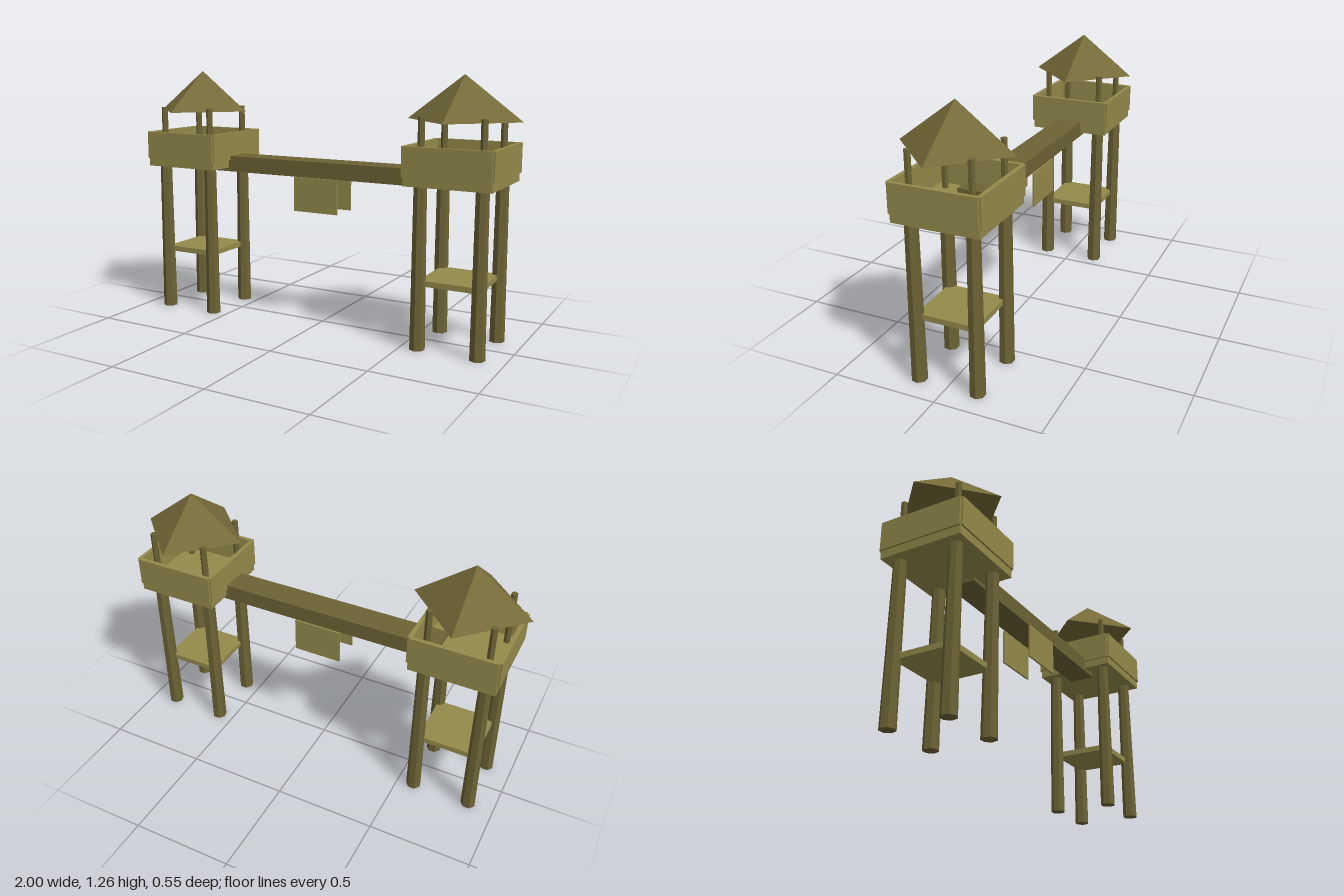
import * as THREE from 'three';

const material = (name, color) => {
  const m = new THREE.MeshStandardMaterial({ color, flatShading: true });
  m.name = name;
  return m;
};

export function createModel() {
  const model = new THREE.Group();
  model.name = 'twinWatchtowers';

  const planks = material('light olive planks', 0x938a4b);
  const timber = material('dark olive timber', 0x6c6334);
  const thatch = material('olive roof', 0x766b39);

  const add = (parent, name, geometry, mat, x, y, z) => {
    const mesh = new THREE.Mesh(geometry, mat);
    mesh.name = name;
    mesh.position.set(x, y, z);
    parent.add(mesh);
    return mesh;
  };
  const box = (w, h, d) => new THREE.BoxGeometry(w, h, d);

  function createTower(name, x) {
    const tower = new THREE.Group();
    tower.name = name;
    tower.position.x = x;

    // Tapered legs and the thin posts above them
    for (const sx of [-1, 1]) {
      for (const sz of [-1, 1]) {
        add(tower, 'leg', new THREE.CylinderGeometry(0.031, 0.037, 0.77, 7), timber,
          sx * 0.145, 0.385, sz * 0.145);
        add(tower, 'roofPost', new THREE.CylinderGeometry(0.016, 0.016, 0.27, 6), timber,
          sx * 0.145, 0.942, sz * 0.145);
      }
    }

    // Lower shelf and upper deck
    add(tower, 'shelf', box(0.29, 0.027, 0.29), planks, 0, 0.317, 0);
    add(tower, 'deck', box(0.412, 0.04, 0.412), planks, 0, 0.79, 0);

    // Parapet walls, slightly notched where they meet at the corners
    for (const s of [-1, 1]) {
      add(tower, 'parapetSide', box(0.02, 0.14, 0.41), planks, s * 0.205, 0.88, 0);
      add(tower, 'parapetFace', box(0.41, 0.14, 0.02), planks, 0, 0.88, s * 0.205);
    }

    // Pyramid roof turned with its corners on the axes
    add(tower, 'roof', new THREE.ConeGeometry(0.273, 0.205, 4), thatch, 0, 1.161, 0);
    model.add(tower);
  }

  createTower('leftTower', 0.727);
  createTower('rightTower', -0.727);

  // Beam bridge joining both decks, with a hanging panel on each face
  add(model, 'bridge', box(1.23, 0.08, 0.135), timber, 0, 0.79, 0);
  for (const s of [-1, 1]) {
    add(model, 'hangingPanel', box(0.242, 0.172, 0.009), planks, 0, 0.664, s * 0.0725);
  }

  return model;
}
